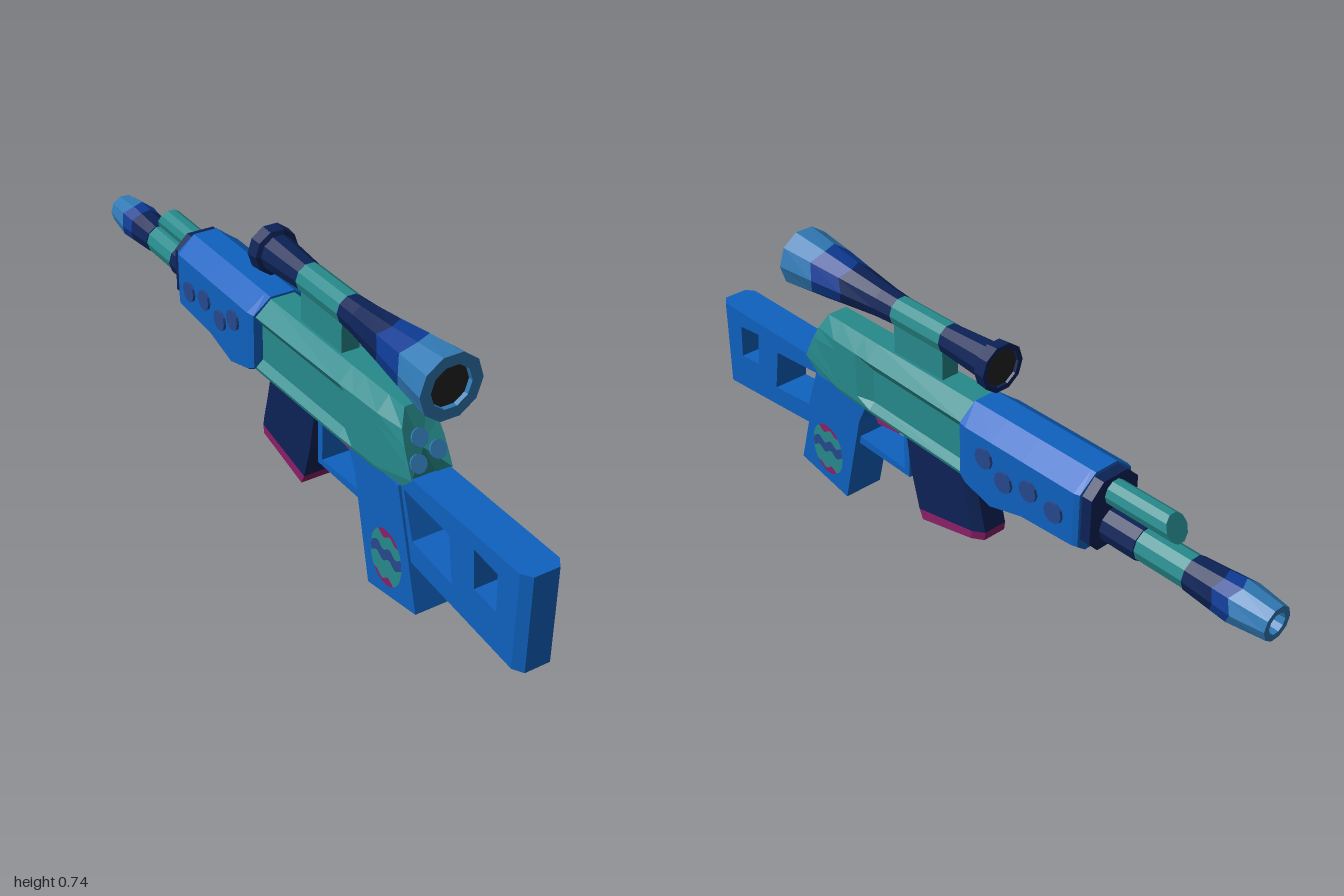
import * as THREE from 'three';

const material = (name, color, side = THREE.FrontSide) => {
  const m = new THREE.MeshStandardMaterial({ color, side, flatShading: true });
  m.name = name;
  return m;
};

export function createModel() {
  const group = new THREE.Group();
  const blue = material('blue', 0x0f62c0);
  const teal = material('teal', 0x278a8c, THREE.DoubleSide);
  const navy = material('navy', 0x0c2256, THREE.DoubleSide);
  const midBlue = material('midBlue', 0x0d3a92);
  const lightBlue = material('lightBlue', 0x3079b4);
  const magenta = material('magenta', 0x8c1f68, THREE.DoubleSide);
  const dotBlue = material('dotBlue', 0x26498f);
  const black = material('black', 0x232323);

  const add = (name, geometry, mat) => {
    const mesh = new THREE.Mesh(geometry, mat);
    mesh.name = name;
    group.add(mesh);
    return mesh;
  };

  // Skin over rings of [x, y, z] points, with both ends closed
  const loft = (name, mat, rings) => {
    const out = [];
    const n = rings[0].length;
    const centre = (r) => [0, 1, 2].map((k) => r.reduce((s, p) => s + p[k], 0) / n);
    const first = rings[0], last = rings[rings.length - 1];
    const c0 = centre(first), c1 = centre(last);
    for (let i = 0; i < n; i++) {
      const j = (i + 1) % n;
      for (let k = 0; k + 1 < rings.length; k++) {
        const a = rings[k], b = rings[k + 1];
        out.push(...a[i], ...a[j], ...b[j], ...a[i], ...b[j], ...b[i]);
      }
      out.push(...c0, ...first[j], ...first[i], ...c1, ...last[i], ...last[j]);
    }
    const g = new THREE.BufferGeometry();
    g.setAttribute('position', new THREE.Float32BufferAttribute(out, 3));
    g.computeVertexNormals();
    return add(name, g, mat);
  };

  // Ring from its +x half, listed bottom to top, mirrored to -x
  const mirrored = (half) => [...half, ...half.map(([x, y, z]) => [-x, y, z]).reverse()];

  // Ten-sided turned part along z; stations are [z, radius, zigzag]
  const turned = (name, mat, cy, stations) =>
    loft(name, mat, stations.map(([z, r, zig = 0]) =>
      Array.from({ length: 10 }, (_, i) => {
        const a = (i / 10) * Math.PI * 2;
        return [r * Math.cos(a), cy + r * Math.sin(a), z + (i % 2 ? zig : -zig)];
      })));

  // Side outline in (z, y) extruded across x
  const slab = (name, mat, outline, halfWidth, holes = []) => {
    const pts = (list) => list.map(([z, y]) => new THREE.Vector2(z, y));
    const shape = new THREE.Shape(pts(outline));
    holes.forEach((h) => shape.holes.push(new THREE.Path(pts(h))));
    const g = new THREE.ExtrudeGeometry(shape, { depth: halfWidth * 2, bevelEnabled: false });
    g.translate(0, 0, -halfWidth).rotateY(-Math.PI / 2);
    return add(name, g, mat);
  };

  // Skeleton stock with a chamfered butt
  slab('stock', blue, [[0.975, 0.4], [0.975, 0.137], [0.57, 0.172], [0.42, 0.2], [0.36, 0.36], [0.54, 0.36], [0.585, 0.4]], 0.053, [
    [[0.91, 0.25], [0.905, 0.35], [0.82, 0.36], [0.83, 0.257]],
    [[0.75, 0.215], [0.73, 0.34], [0.552, 0.355], [0.595, 0.232]],
  ]);
  loft('buttEnd', blue, [
    mirrored([[0.053, 0.137, 0.975], [0.053, 0.4, 0.975]]),
    mirrored([[0.035, 0.135, 1], [0.035, 0.4, 1]]),
  ]);

  // Grip, guard and trigger
  slab('grip', blue, [[0.63, 0.04], [0.43, 0.002], [0.36, 0.29], [0.325, 0.36], [0.54, 0.36]], 0.06);
  slab('triggerGuard', blue, [[0.39, 0.205], [0.17, 0.2], [0.17, 0.36], [0.19, 0.36], [0.19, 0.218], [0.385, 0.23]], 0.045);
  slab('trigger', magenta, [[0.335, 0.3], [0.32, 0.355], [0.29, 0.355], [0.24, 0.295], [0.325, 0.285]], 0.022);

  // Magazine: tilted sections [back z, back y, front z, front y]
  const magRing = ([zb, yb, zf, yf]) => [
    [0.055, yb, zb], [0.055, yf, zf + 0.03], [0.035, yf, zf],
    [-0.035, yf, zf], [-0.055, yf, zf + 0.03], [-0.055, yb, zb],
  ];
  const magFoot = [0.12, 0.128, -0.116, 0.17];
  loft('magazine', navy, [magFoot, [0.148, 0.23, -0.095, 0.25], [0.17, 0.36, -0.07, 0.36]].map(magRing));
  loft('magazineBase', magenta, [[0.107, 0.1, -0.113, 0.145], magFoot].map(magRing));

  // Receiver with sunken side panels and a sloping rear
  const body = (z, side, inset, top, shoulderY = 0.51, topY = 0.55, bottom = 0.35) => mirrored([
    [side - 0.004, bottom, z], [side, bottom + 0.012, z], [side - inset, bottom + 0.03, z],
    [side - inset, shoulderY - 0.03, z], [side, shoulderY, z], [top, topY, z],
  ]);
  const rear = mirrored([
    [0.052, 0.35, 0.535], [0.057, 0.4, 0.588], [0.057, 0.425, 0.575],
    [0.055, 0.47, 0.552], [0.05, 0.508, 0.532], [0.03, 0.55, 0.51],
  ]);
  loft('receiver', teal, [
    body(-0.08, 0.08, 0.02, 0.035), body(0.3, 0.07, 0.018, 0.033),
    body(0.355, 0.067, 0, 0.032), body(0.45, 0.063, 0, 0.031), rear,
  ]);

  // Round spots on the rear slope
  const slope = Math.atan2(0.08, 0.15);
  for (const [x, y] of [[-0.01, 0.48], [-0.03, 0.43], [0.03, 0.445]]) {
    const spot = add('rearSpot', new THREE.CylinderGeometry(0.023, 0.023, 0.006, 14), lightBlue);
    spot.position.set(x, y, 0.589 - (y - 0.4) * 0.533);
    spot.rotation.x = Math.PI / 2 - slope;
  }

  // Handguard and its front collar
  const guard = (z, yb, foot, side = 0.091) => mirrored([
    [foot, yb, z], [side, yb + (side - foot) * 0.8, z], [side, 0.515, z], [0.035, 0.556, z],
  ]);
  loft('handguard', blue, [
    guard(-0.485, 0.345, 0.06, 0.086), guard(-0.47, 0.343, 0.063), guard(-0.3, 0.338, 0.07),
    guard(-0.19, 0.32, 0.085), guard(-0.1, 0.345, 0.085), guard(-0.075, 0.358, 0.08, 0.086),
  ]);
  const collar = (z) => mirrored([[0.05, 0.355, z], [0.078, 0.385, z], [0.078, 0.51, z], [0.04, 0.547, z]]);
  loft('collar', navy, [collar(-0.515), collar(-0.485)]);

  // Spots along both sides of the handguard
  for (const s of [-1, 1]) {
    for (const [z, y] of [[-0.17, 0.46], [-0.24, 0.425], [-0.325, 0.445], [-0.41, 0.43]]) {
      const dot = add('handguardSpot', new THREE.CylinderGeometry(0.029, 0.029, 0.008, 10), dotBlue);
      dot.rotation.z = Math.PI / 2;
      dot.position.set(s * 0.094, y, z);
    }
  }

  // Barrel, with a bored muzzle, in colour bands
  turned('muzzle', lightBlue, 0.41, [[-0.965, 0.026], [-1, 0.028], [-1, 0.045], [-0.905, 0.057, 0.008]]);
  turned('muzzleBand', midBlue, 0.41, [[-0.905, 0.057, 0.008], [-0.855, 0.053, 0.006]]);
  turned('muzzleNeck', navy, 0.41, [[-0.855, 0.053, 0.006], [-0.765, 0.046]]);
  turned('barrel', teal, 0.41, [[-0.765, 0.044], [-0.62, 0.044]]);
  turned('barrelRoot', navy, 0.41, [[-0.62, 0.048], [-0.51, 0.048]]);
  turned('bore', black, 0.41, [[-0.967, 0.026], [-0.96, 0.026]]);

  // Upper tube with a slanted nose
  const upperTube = turned('upperTube', teal, 0.502, [[-0.7, 0.034], [-0.51, 0.034]]);
  const p = upperTube.geometry.attributes.position;
  for (let i = 0; i < p.count; i++) {
    if (p.getZ(i) < -0.6) p.setZ(i, -0.705 + (p.getY(i) - 0.502) * 0.5);
  }
  upperTube.geometry.computeVertexNormals();

  // Scope in colour bands, on its mount
  const mount = add('scopeMount', new THREE.BoxGeometry(0.052, 0.11, 0.185), teal);
  mount.position.set(0, 0.6, 0.148);
  const sy = 0.662;
  turned('eyepieceRim', navy, sy, [[-0.125, 0.05], [-0.135, 0.052], [-0.135, 0.066], [-0.1, 0.063], [-0.095, 0.05], [0.055, 0.04]]);
  turned('scopeTube', teal, sy, [[0.055, 0.041], [0.24, 0.041]]);
  turned('scopeNeck', navy, sy, [[0.24, 0.041], [0.3, 0.045], [0.425, 0.059, 0.01]]);
  turned('scopeBand', midBlue, sy, [[0.425, 0.059, 0.01], [0.53, 0.073, 0.009]]);
  turned('scopeBell', lightBlue, sy, [[0.53, 0.073, 0.009], [0.64, 0.086], [0.64, 0.056], [0.625, 0.055]]);
  turned('frontLens', black, sy, [[0.62, 0.055], [0.628, 0.055]]);
  turned('rearLens', black, sy, [[-0.128, 0.051], [-0.122, 0.051]]);

  // Striped oval on each side of the grip, cut into wavy bands
  const bands = [
    [-0.1, -0.062, magenta], [-0.062, -0.008, teal], [-0.008, 0.024, dotBlue],
    [0.024, 0.06, teal], [0.06, 0.1, magenta],
  ];
  for (const s of [-1, 1]) {
    for (const [low, high, mat] of bands) {
      const g = new THREE.PlaneGeometry(2, 1, 24, 1);
      const v = g.attributes.position;
      for (let i = 0; i < v.count; i++) {
        const u = v.getX(i);
        const edge = 0.08 * Math.sqrt(Math.max(0, 1 - u * u));
        const wave = 0.007 * Math.sin(u * 8);
        v.setXY(i, u * 0.066, THREE.MathUtils.clamp((v.getY(i) > 0 ? high : low) + wave, -edge, edge));
      }
      const stripe = add('gripOvalBand', g, mat);
      stripe.rotation.y = (s * Math.PI) / 2;
      stripe.position.set(s * 0.0625, 0.128, 0.505);
    }
  }

  return group;
}
